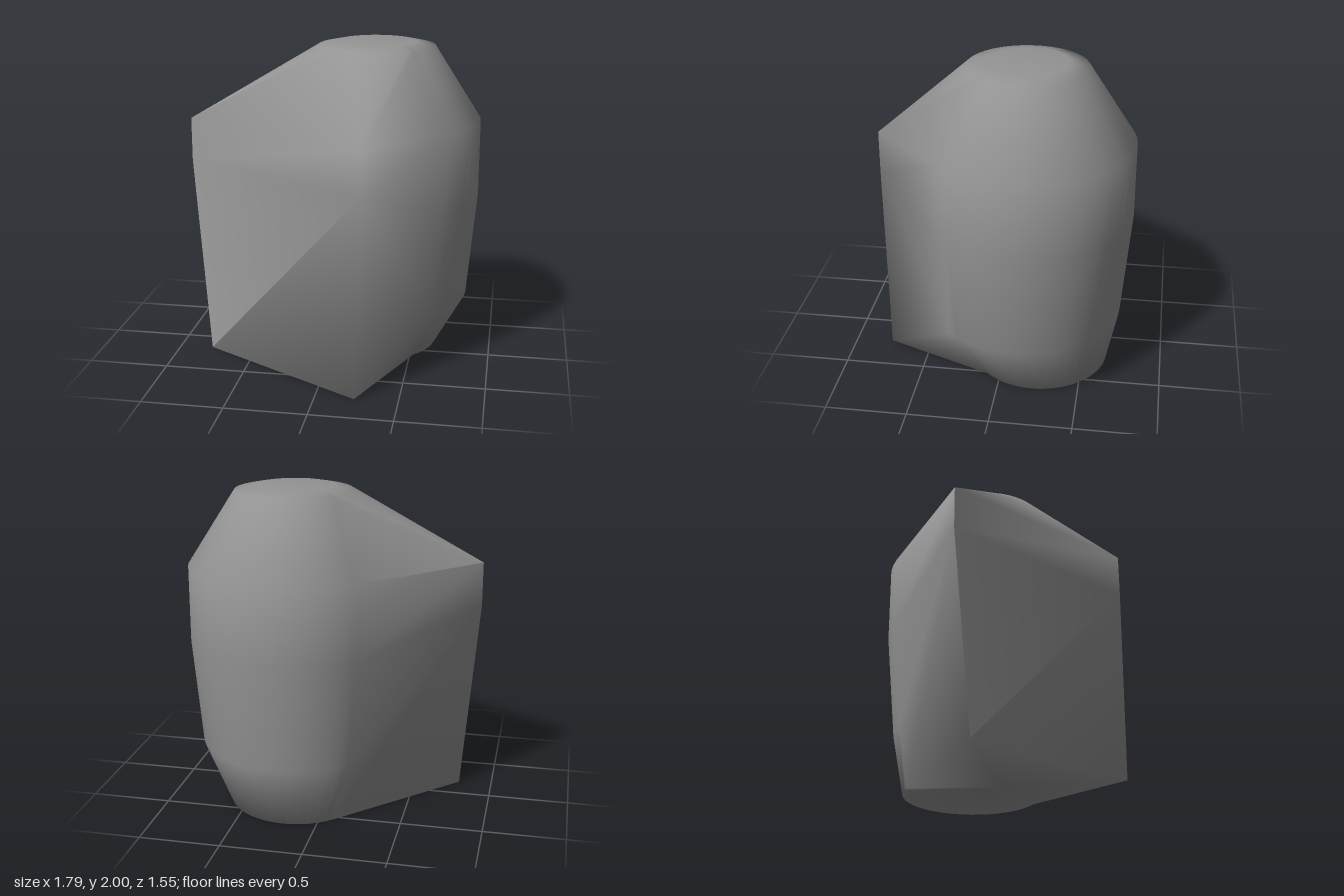
import * as THREE from 'three';
import { mergeVertices } from 'three/addons/utils/BufferGeometryUtils.js';

const N = 48;           // points per ring
const LAST_LEFT = 37;   // ring points 25..37 gather at the left front corner, the rest at the right one
const C = Math.SQRT1_2;

// u runs across the body, v runs towards its oblique front; the body is turned 45 degrees
const place = (u, y, v) => new THREE.Vector3(0.24 + C * (u - v), y, -0.13 + C * (u + v));

// A ring: an elliptical back half, and a front half that is round or gathered into two corners
function ring({ y, u0 = 0, v0 = 0, ru, rv = ru, corners }) {
  return Array.from({ length: N }, (_, i) => {
    if (corners && i > N / 2) return place(...corners[i <= LAST_LEFT ? 0 : 1]);
    const a = -i * 2 * Math.PI / N;
    return place(u0 + ru * Math.cos(a), y, v0 + rv * Math.sin(a));
  });
}

// Soft normals everywhere, except at the sharp upper left corner of the front
function shade(points) {
  const soft = mergeVertices(new THREE.BufferGeometry().setFromPoints(points));
  soft.computeVertexNormals();
  const geometry = soft.toNonIndexed();
  const normals = geometry.attributes.normal;
  const frontNormal = new THREE.Vector3(-0.1, 0.25, 0.96).normalize();
  const isTip = (p) => p.x < -0.85;
  const tri = new THREE.Triangle();
  const face = new THREE.Vector3();
  for (let i = 0; i < points.length; i += 3) {
    const corners = points.slice(i, i + 3);
    if (!corners.some(isTip)) continue;
    tri.set(...corners).getNormal(face);
    corners.forEach((p, k) => {
      if (face.z > 0.3 && p.x < -0.7) normals.setXYZ(i + k, ...frontNormal);
      else if (face.z <= 0.3 && face.y > 0.2 && isTip(p)) normals.setXYZ(i + k, ...face);
    });
  }
  return geometry;
}

function bodyGeometry() {
  const cornersAt = (y) => [[-0.64, y, 0.97], [0.66, y, 0.615]];
  const rings = [
    { y: 0, u0: -0.085, v0: -0.05, ru: 0.43, rv: 0.42, corners: [[-0.516, 0, 0.94], [0.63, 0, 0.635]] },
    { y: 0.38, ru: 0.595, corners: cornersAt(1.25) },
    { y: 1.05, ru: 0.653, corners: cornersAt(1.25) },
    { y: 1.52, ru: 0.653, corners: cornersAt(1.52) },
    { y: 1.975, ru: 0.362 },
    { y: 2, ru: 0.245 },
  ].map(ring);

  const points = [];
  const tri = new THREE.Triangle();
  const add = (a, b, c) => {
    if (tri.set(a, b, c).getArea() > 1e-6) points.push(a, b, c);
  };

  // Walls between neighbouring rings
  for (let k = 0; k + 1 < rings.length; k++) {
    const low = rings[k], up = rings[k + 1];
    for (let i = 0; i < N; i++) {
      const j = (i + 1) % N;
      add(low[i], low[j], up[j]);
      add(low[i], up[j], up[i]);
    }
  }

  // Flat base and crown
  const bottom = rings[0], top = rings[rings.length - 1];
  const baseCentre = place(0, 0, 0.2), topCentre = place(0, 2, 0);
  for (let i = 0; i < N; i++) {
    const j = (i + 1) % N;
    add(baseCentre, bottom[j], bottom[i]);
    add(topCentre, top[i], top[j]);
  }
  return shade(points);
}

export function createModel() {
  const group = new THREE.Group();
  group.name = 'roundedBlock';
  const body = new THREE.Mesh(bodyGeometry(), new THREE.MeshStandardMaterial({ color: 0x949494 }));
  body.name = 'body';
  group.add(body);
  return group;
}
